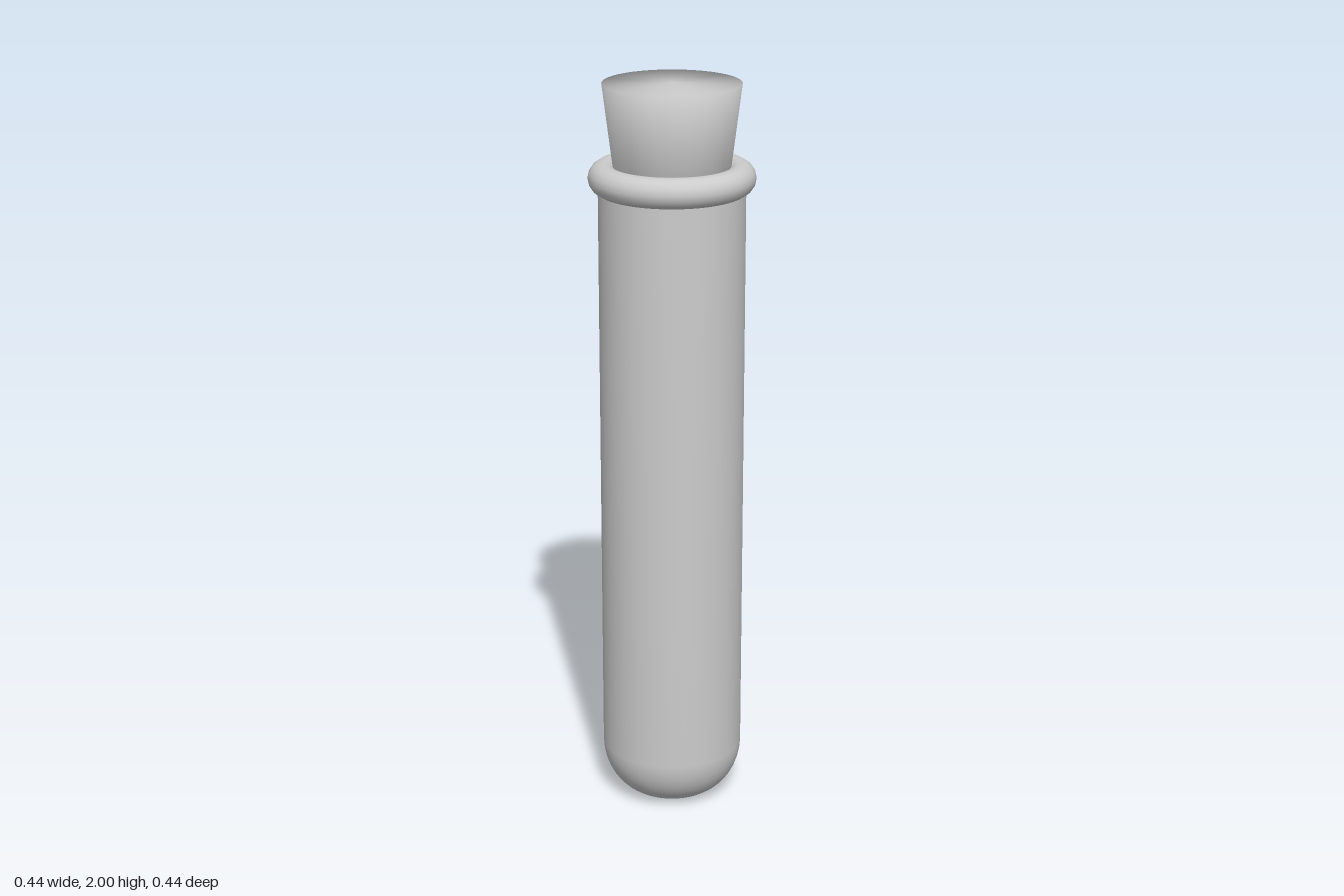
import * as THREE from 'three';

const SEGMENTS = 64;

export function createModel() {
  const group = new THREE.Group();
  const material = new THREE.MeshStandardMaterial({ color: 0xcccccc });

  const add = (name, geometry) => {
    const mesh = new THREE.Mesh(geometry, material);
    mesh.name = name;
    group.add(mesh);
    return mesh;
  };
  const lathe = (points) =>
    new THREE.LatheGeometry(points.map(([r, y]) => new THREE.Vector2(r, y)), SEGMENTS);

  // Quarter arc from the flat base up to the wall
  const corner = (radius, base, rx, ry, steps = 10) =>
    Array.from({ length: steps + 1 }, (_, i) => {
      const a = (i / steps) * Math.PI / 2;
      return [radius - rx + rx * Math.sin(a), base + ry - ry * Math.cos(a)];
    });

  // Hollow tube: outer wall up, inner wall back down to the axis
  add('glassTube', lathe([
    [0, 0],
    ...corner(0.192, 0, 0.125, 0.15),
    [0.192, 1.75],
    [0.172, 1.75],
    ...corner(0.172, 0.02, 0.115, 0.14).reverse(),
    [0, 0.02],
  ]));

  // Rounded lip around the mouth
  const lip = add('lip', new THREE.TorusGeometry(0.178, 0.04, 16, SEGMENTS));
  lip.rotation.x = Math.PI / 2;
  lip.position.y = 1.755;

  // Tapered stopper, reaching down into the mouth
  add('stopper', lathe([[0, 1.68], [0.14, 1.68], [0.18, 2], [0, 2]]));

  return group;
}
